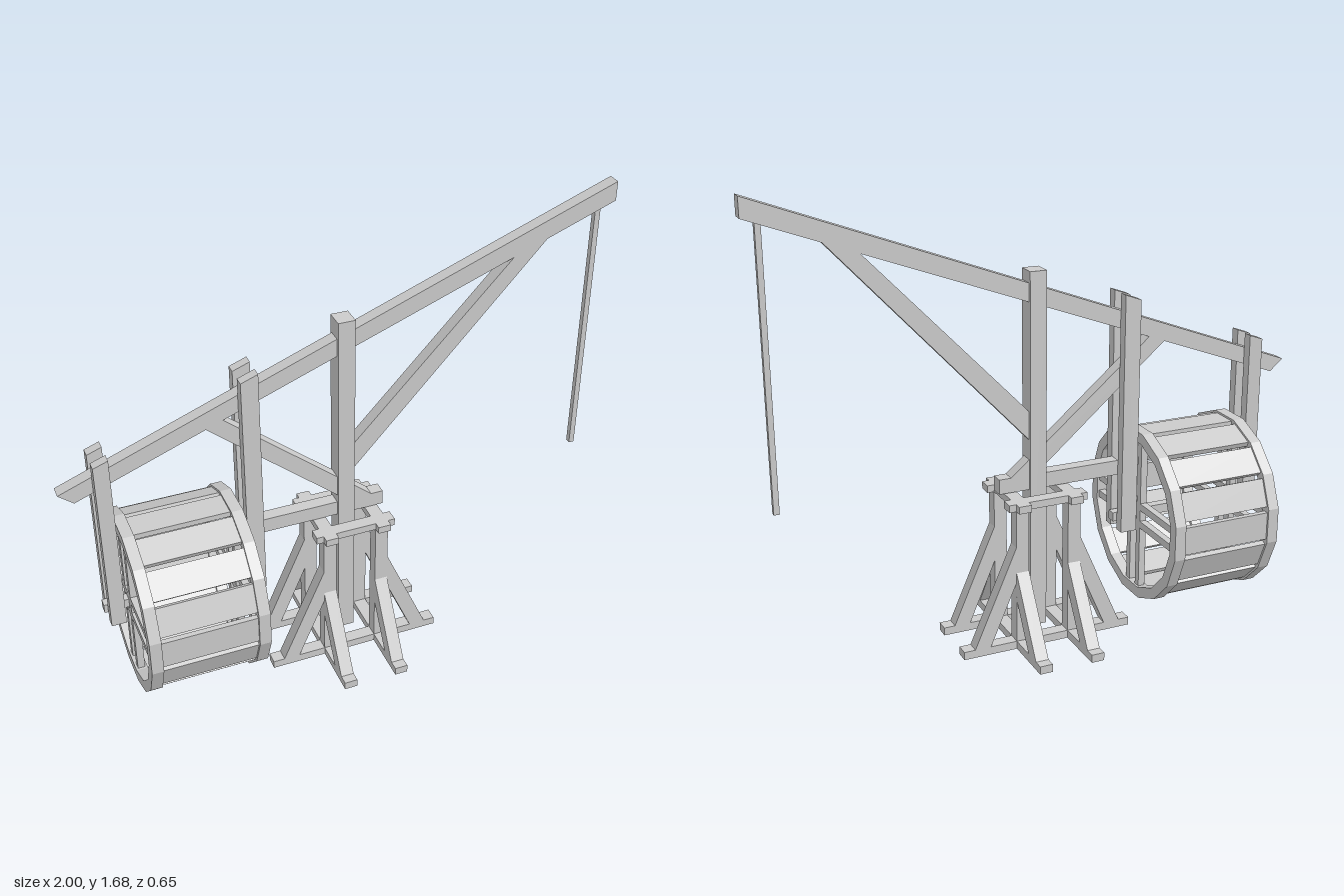
import * as THREE from 'three';

const material = new THREE.MeshStandardMaterial({ color: 0xcccccc, flatShading: true });

function add(parent, name, geometry) {
  const mesh = new THREE.Mesh(geometry, material);
  mesh.name = name;
  parent.add(mesh);
  return mesh;
}

// Box given by its limits on each axis
function box(parent, name, [x0, x1], [y0, y1], [z0, z1]) {
  const g = new THREE.BoxGeometry(x1 - x0, y1 - y0, z1 - z0);
  g.translate((x0 + x1) / 2, (y0 + y1) / 2, (z0 + z1) / 2);
  return add(parent, name, g);
}

// Timber with a side outline in x/y, centred on z
function timber(parent, name, points, width, z = 0) {
  const shape = new THREE.Shape(points.map(([x, y]) => new THREE.Vector2(x, y)));
  const g = new THREE.ExtrudeGeometry(shape, { depth: width, bevelEnabled: false });
  g.translate(0, 0, z - width / 2);
  return add(parent, name, g);
}

function polygon(radius, sides) {
  return Array.from({ length: sides }, (_, i) => {
    const a = ((i + 0.5) / sides) * Math.PI * 2;
    return new THREE.Vector2(Math.cos(a) * radius, Math.sin(a) * radius);
  });
}

function createBase() {
  const base = new THREE.Group();
  base.name = 'base';
  const w = 0.024;
  for (const s of [-0.1, 0.1]) {
    // Crossed sills on the ground and crossed bars under the crane
    box(base, 'sillAcross', [-0.326, 0.326], [0, 0.03], [s - w, s + w]);
    box(base, 'sillDeep', [s - w, s + w], [0, 0.03], [-0.326, 0.326]);
    box(base, 'capAcross', [-0.15, 0.15], [0.533, 0.56], [s - w, s + w]);
    box(base, 'capDeep', [s - w, s + w], [0.533, 0.56], [-0.15, 0.15]);
    for (const t of [-0.1, 0.1]) {
      box(base, 'leg', [s - w, s + w], [0.03, 0.535], [t - w, t + w]);
    }
  }
  // Slanting braces: steep ones sideways, lower ones to front and back
  const sideBrace = [[0.12, 0.405], [0.12, 0.27], [0.224, 0.03], [0.284, 0.03]];
  const depthBrace = [[0.12, 0.305], [0.12, 0.2], [0.227, 0.03], [0.29, 0.03]];
  for (let i = 0; i < 4; i++) {
    for (const s of [-0.1, 0.1]) {
      const brace = timber(base, 'legBrace', i % 2 ? depthBrace : sideBrace, 0.048, s);
      brace.rotation.y = (i * Math.PI) / 2;
    }
  }
  base.position.x = 0.01;
  return base;
}

function createWheel() {
  const wheel = new THREE.Group();
  wheel.name = 'treadWheel';
  const sides = 16;
  const halfLength = 0.213;
  const rimWidth = 0.042;

  const ring = new THREE.Shape(polygon(0.332, sides));
  ring.holes.push(new THREE.Path(polygon(0.291, sides)));
  for (const x of [-halfLength, halfLength - rimWidth]) {
    const g = new THREE.ExtrudeGeometry(ring, { depth: rimWidth, bevelEnabled: false });
    g.rotateY(Math.PI / 2).translate(x, 0, 0);
    add(wheel, 'rim', g);
    // Paired spokes clasping the axle both ways
    const spokeX = [x + 0.008, x + rimWidth - 0.008];
    for (const s of [-0.035, 0.035]) {
      box(wheel, 'spokeLevel', spokeX, [s - 0.0135, s + 0.0135], [-0.289, 0.289]);
      box(wheel, 'spokeUpright', spokeX, [-0.289, 0.289], [s - 0.0135, s + 0.0135]);
    }
  }
  // Tread boards between the rims
  for (let i = 0; i < sides; i++) {
    const board = box(wheel, 'treadBoard', [-0.18, 0.18], [0.298, 0.318], [-0.052, 0.052]);
    board.rotation.x = (i / sides) * Math.PI * 2;
  }
  box(wheel, 'axle', [-0.293, 0.301], [-0.017, 0.017], [-0.017, 0.017]);
  wheel.position.set(-0.601, 0.393, 0);
  return wheel;
}

export function createModel() {
  const model = new THREE.Group();
  model.name = 'treadWheelCrane';
  model.add(createBase(), createWheel());

  // Mast and jib
  box(model, 'mast', [-0.022, 0.04], [0.03, 1.355], [-0.035, 0.035]);
  timber(model, 'jib', [[-1, 0.918], [-0.948, 0.875], [1, 1.61], [1, 1.68]], 0.048);
  box(model, 'platformBeam', [-0.313, 0.155], [0.563, 0.618], [-0.024, 0.024]);

  // Struts under the jib
  timber(model, 'frontStrut', [[0.03, 0.845], [0.03, 0.74], [0.757, 1.526], [0.633, 1.478]], 0.048);
  timber(model, 'rearStrut', [[-0.495, 1.053], [0.03, 0.605], [0.125, 0.605], [-0.435, 1.077]], 0.048);

  // Paired hangers holding the wheel axle
  for (const z of [-0.042, 0.042]) {
    timber(model, 'outerHanger', [[-0.882, 0.346], [-0.829, 0.346], [-0.829, 1.037], [-0.882, 1.018]], 0.036, z);
    timber(model, 'innerHanger', [[-0.374, 0.346], [-0.312, 0.346], [-0.312, 1.243], [-0.374, 1.22]], 0.036, z);
  }

  // Hoisting rope
  box(model, 'rope', [0.932, 0.952], [0.62, 1.6], [-0.01, 0.01]);
  return model;
}
